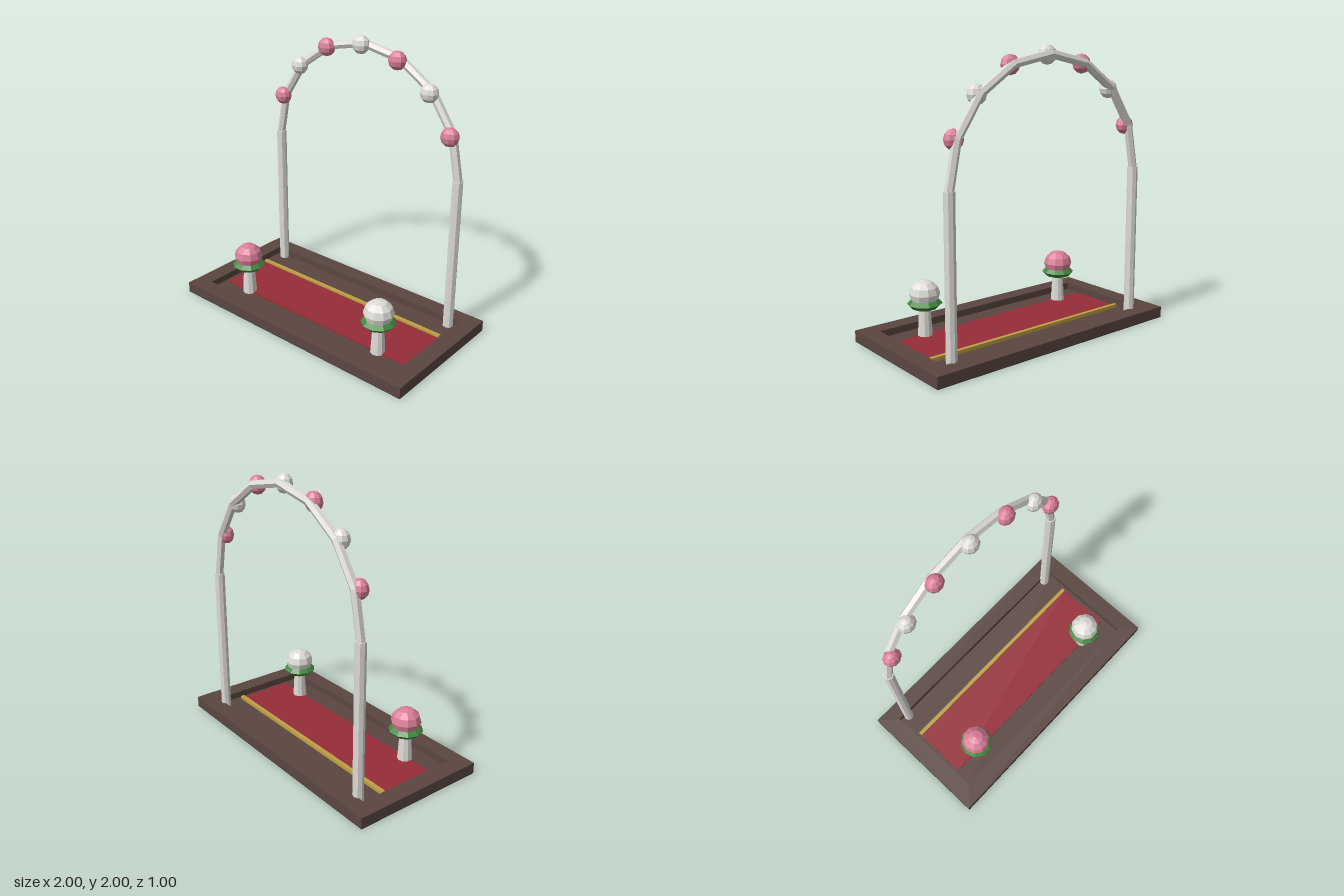
import * as THREE from 'three';

const mat = (name, color) => {
  const m = new THREE.MeshStandardMaterial({ color });
  m.name = name;
  m.flatShading = true;
  return m;
};

// Half circle joining the two posts
class Arch extends THREE.Curve {
  getPoint(t, target = new THREE.Vector3()) {
    const a = Math.PI * (1 - t);
    return target.set(0.8 * Math.cos(a), 1.14 + 0.8 * Math.sin(a), -0.36);
  }
}

export function createModel() {
  const brown = mat('dark wood', 0x5a4640);
  const dark = mat('underside black', 0x343434);
  const red = mat('carpet red', 0x962c38);
  const gold = mat('gold', 0xc0a044);
  const white = mat('white', 0xdedcd6);
  const pink = mat('pink', 0xda7f98);
  const green = mat('leaf green', 0x42883f);

  const model = new THREE.Group();
  const add = (name, geometry, material, x = 0, y = 0, z = 0, parent = model) => {
    const mesh = new THREE.Mesh(geometry, material);
    mesh.name = name;
    mesh.position.set(x, y, z);
    parent.add(mesh);
    return mesh;
  };
  const rect = (shape, w, d) => shape
    .moveTo(-w, -d).lineTo(w, -d).lineTo(w, d).lineTo(-w, d).closePath();

  // Base: underside plate, raised rim and sunken floor
  add('underside', new THREE.BoxGeometry(2, 0.004, 1), dark, 0, 0.002, 0);
  const rim = new THREE.Shape();
  rect(rim, 1, 0.5);
  const opening = new THREE.Path();
  rect(opening, 0.875, 0.38);
  rim.holes.push(opening);
  const rimGeometry = new THREE.ExtrudeGeometry(rim, { depth: 0.076, bevelEnabled: false });
  rimGeometry.rotateX(-Math.PI / 2);
  add('baseRim', rimGeometry, brown, 0, 0.004, 0);
  add('baseFloor', new THREE.BoxGeometry(1.75, 0.026, 0.76), brown, 0, 0.017, 0);

  // Carpet and its gold edge
  add('carpet', new THREE.BoxGeometry(1.69, 0.01, 0.405), red, 0, 0.035, 0.0325);
  add('goldTrim', new THREE.BoxGeometry(1.69, 0.025, 0.028), gold, 0, 0.0425, -0.182);

  // Posts and arch
  for (const side of [-1, 1]) {
    add(side > 0 ? 'leftPost' : 'rightPost',
      new THREE.CylinderGeometry(0.037, 0.037, 1.11, 8), white, side * 0.8, 0.585, -0.36);
  }
  const arch = new Arch();
  add('arch', new THREE.TubeGeometry(arch, 8, 0.031, 6), white);

  // Blossoms along the arch, pink and white in turn
  const blossom = new THREE.SphereGeometry(0.066, 10, 6);
  for (let i = 1; i < 8; i++) {
    const p = arch.getPoint(i / 8);
    add('archBlossom', blossom, i % 2 ? pink : white, p.x, p.y - 0.005, -0.326).scale.z = 0.85;
  }

  // Flower stands
  for (const side of [-1, 1]) {
    const stand = new THREE.Group();
    stand.name = side > 0 ? 'leftFlowerStand' : 'rightFlowerStand';
    stand.position.set(side * 0.615, 0, 0.22);
    add('pedestal', new THREE.CylinderGeometry(0.038, 0.053, 0.25, 10), white, 0, 0.155, 0, stand);
    const ring = new THREE.TorusGeometry(0.09, 0.031, 4, 10).rotateX(Math.PI / 2);
    add('leafRing', ring, green, 0, 0.267, 0, stand);
    add('bloom', new THREE.SphereGeometry(0.106, 10, 6), side > 0 ? white : pink, 0, 0.336, 0, stand)
      .scale.y = 0.88;
    model.add(stand);
  }
  return model;
}
